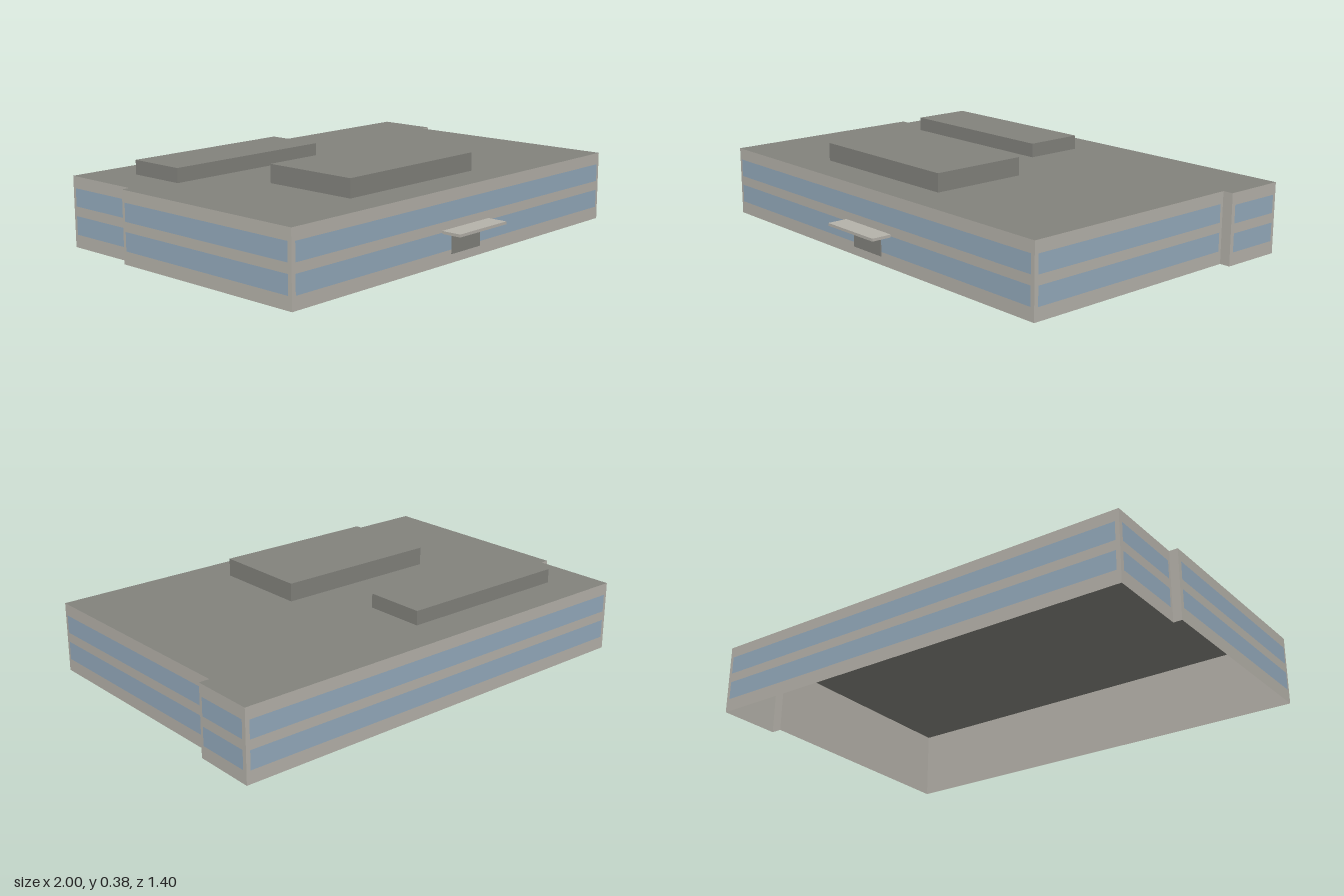
import * as THREE from 'three';

const HEIGHT = 0.303;

export function createModel() {
  const building = new THREE.Group();
  building.name = 'officeBuilding';

  const material = (name, color, side = THREE.FrontSide) => {
    const m = new THREE.MeshStandardMaterial({ color, side });
    m.name = name;
    return m;
  };
  const wallMat = material('warm grey wall', 0xb5b2aa, THREE.DoubleSide);
  const roofMat = material('dark grey roof', 0x82827c, THREE.DoubleSide);
  const glassMat = material('blue grey glass', 0x94aabc);

  const add = (parent, name, geometry, mat, x = 0, y = 0, z = 0) => {
    const mesh = new THREE.Mesh(geometry, mat);
    mesh.name = name;
    mesh.position.set(x, y, z);
    parent.add(mesh);
    return mesh;
  };

  // Footprint corners [x, z], running from the front left around the building
  const corners = [
    [-1, 0.61], [0.956, 0.61], [0.952, -0.423], [0.998, -0.423],
    [1, -0.7], [-0.965, -0.7], [-0.963, -0.33], [-1, -0.33],
  ];

  // Walls are single sheets; the long ones carry two ribbon windows
  const bands = [[0.056, 0.135], [0.176, 0.253]];
  corners.forEach(([ax, az], i) => {
    const [bx, bz] = corners[(i + 1) % corners.length];
    const length = Math.hypot(bx - ax, bz - az);
    const side = new THREE.Group();
    side.name = 'wallSide' + (i + 1);
    side.position.set((ax + bx) / 2, 0, (az + bz) / 2);
    side.rotation.y = Math.atan2(az - bz, bx - ax);
    building.add(side);
    add(side, 'wall', new THREE.PlaneGeometry(length, HEIGHT), wallMat, 0, HEIGHT / 2, 0);
    if (length < 0.1) return;
    for (const [low, high] of bands) {
      add(side, 'ribbonWindow', new THREE.PlaneGeometry(length - 0.034, high - low),
        glassMat, 0, (low + high) / 2, 0.002);
    }
  });

  // Flat roof over the footprint
  const outline = new THREE.Shape(corners.map(([x, z]) => new THREE.Vector2(x, -z)));
  add(building, 'roof', new THREE.ShapeGeometry(outline).rotateX(-Math.PI / 2),
    roofMat, 0, HEIGHT, 0);

  // Rooftop plant rooms, standing on the roof
  const block = (name, x0, x1, y0, y1, z0, z1, mat) =>
    add(building, name, new THREE.BoxGeometry(x1 - x0, y1 - y0, z1 - z0), mat,
      (x0 + x1) / 2, (y0 + y1) / 2, (z0 + z1) / 2);
  block('frontPlantRoom', -0.523, 0.226, HEIGHT + 0.0005, 0.382, 0.012, 0.445, roofMat);
  block('rearPlantRoom', -0.775, 0.017, HEIGHT + 0.0005, 0.365, -0.528, -0.262, roofMat);

  // Entrance door and the canopy above it
  block('entranceDoor', -0.113, 0.068, 0.038, 0.123, 0.611, 0.616, roofMat);
  block('entranceCanopy', -0.172, 0.13, 0.13, 0.142, 0.61, 0.7, wallMat);

  return building;
}
